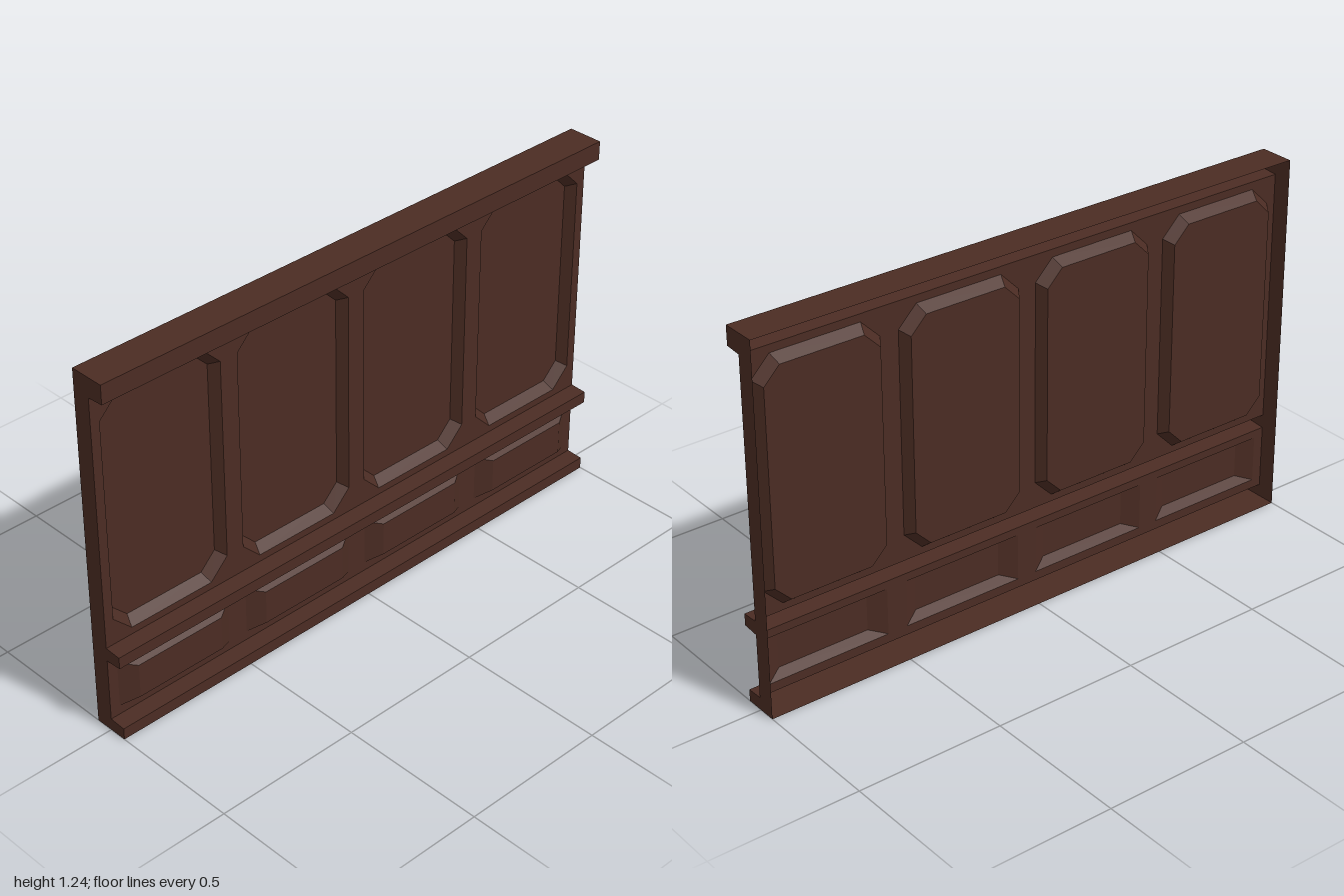
import * as THREE from 'three';

// Open-backed wall panelling. Built facing local +z, then turned to face +x.
export function createModel() {
  const wood = new THREE.MeshStandardMaterial({ color: 0x4b2c23, side: THREE.DoubleSide });
  wood.name = 'dark brown wood';
  const model = new THREE.Group();
  model.name = 'wallPanelling';
  const wall = new THREE.Group();
  wall.name = 'wall';
  wall.rotation.y = Math.PI / 2;
  model.add(wall);

  const add = (parent, name, geometry) => {
    const mesh = new THREE.Mesh(geometry, wood);
    mesh.name = name;
    parent.add(mesh);
  };
  const flat = (pts) => new THREE.ShapeGeometry(new THREE.Shape(pts.map(([x, y]) => new THREE.Vector2(x, y))));
  // flat-shaded geometry from four-cornered faces
  const quads = (faces) => {
    const g = new THREE.BufferGeometry();
    const pos = faces.flatMap(([a, b, c, d]) => [a, b, c, a, c, d].flat());
    g.setAttribute('position', new THREE.Float32BufferAttribute(pos, 3));
    g.computeVertexNormals();
    return g;
  };
  // rectangle with optionally cut corners, counter-clockwise
  const outline = (cx, hw, y0, y1, cut) => {
    const l = cx - hw, r = cx + hw;
    if (!cut) return [[l, y0], [r, y0], [r, y1], [l, y1]];
    return [[l + cut, y0], [r - cut, y0], [r, y0 + cut], [r, y1 - cut],
      [r - cut, y1], [l + cut, y1], [l, y1 - cut], [l, y0 + cut]];
  };

  // Side profile as [depth, height], from the back bottom to the back top
  const F = 0.003, D = 0.06;
  const profile = [[-D, 0], [D, 0], [D, 0.04], [F, 0.043], [F, 0.262], [D, 0.266],
    [D, 0.306], [F, 0.309], [F, 1.172], [D, 1.176], [D, 1.24], [-D, 1.24]];
  const rail = (name, from, to) => {
    const faces = [];
    for (let i = from; i < to; i++) {
      const [p, q] = [profile[i], profile[i + 1]];
      faces.push([[-1, p[1], p[0]], [1, p[1], p[0]], [1, q[1], q[0]], [-1, q[1], q[0]]]);
    }
    add(wall, name, quads(faces));
  };
  rail('bottomRail', 0, 3);
  rail('middleRail', 4, 7);
  rail('topRail', 8, 11);

  // End faces
  for (const s of [-1, 1]) {
    const end = flat(profile.map(([w, v]) => [-s * w, v]));
    end.rotateY(s * Math.PI / 2).translate(s, 0, 0);
    add(wall, s > 0 ? 'rightEnd' : 'leftEnd', end);
  }

  // Bands of four panels: sunken octagons above, raised blocks below
  const bands = [
    { name: 'upper', low: 0.309, high: 1.172, hw: 0.218, y0: 0.333, y1: 1.146, cut: 0.065,
      insetX: 0.021, insetY: 0.025, innerCut: 0.055, depth: -0.033 },
    { name: 'lower', low: 0.043, high: 0.262, hw: 0.215, y0: 0.074, y1: 0.234, cut: 0,
      insetX: 0.055, insetY: 0.021, innerCut: 0, depth: 0.031 },
  ];
  for (const b of bands) {
    const group = new THREE.Group();
    group.name = b.name + 'Band';
    wall.add(group);
    const face = new THREE.Shape(outline(0, 1, b.low, b.high, 0).map(([x, y]) => new THREE.Vector2(x, y)));
    for (const cx of [-0.75, -0.25, 0.25, 0.75]) {
      const outer = outline(cx, b.hw, b.y0, b.y1, b.cut);
      const inner = outline(cx, b.hw - b.insetX, b.y0 + b.insetY, b.y1 - b.insetY, b.innerCut);
      face.holes.push(new THREE.Path(outer.map(([x, y]) => new THREE.Vector2(x, y))));
      const z = F + b.depth;
      add(group, b.name + 'PanelBevel', quads(outer.map((p, i) => {
        const j = (i + 1) % outer.length;
        return [[...p, F], [...outer[j], F], [...inner[j], z], [...inner[i], z]];
      })));
      add(group, b.name + 'Panel', flat(inner).translate(0, 0, z));
    }
    add(group, b.name + 'Frame', new THREE.ShapeGeometry(face).translate(0, 0, F));
  }
  return model;
}
